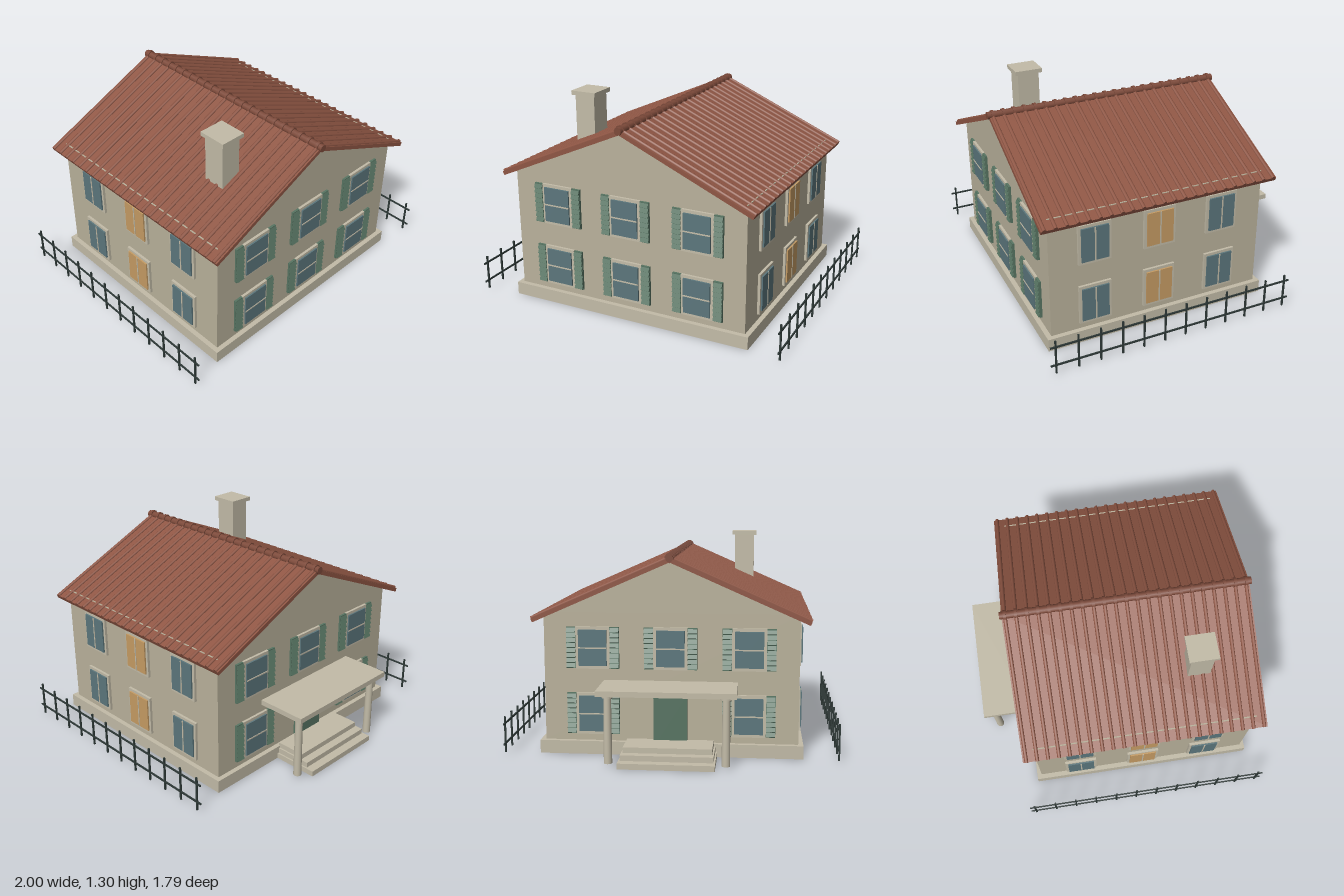
import * as THREE from 'three';

const mat = (color) => new THREE.MeshStandardMaterial({ color });
const wallMat = mat(0xbab29c), stoneMat = mat(0xc3bca8), roofMat = mat(0x8f5644), ridgeMat = mat(0x7d4a3a);
const shutterMat = mat(0x587563), glassMat = mat(0x5c777d), amberMat = mat(0xc69c64), ironMat = mat(0x2f3a38);

// House body is centred a little towards the front
const CZ = 0.11, HALF_W = 0.76, HALF_D = 0.69;

function add(parent, name, geometry, material, x = 0, y = 0, z = 0) {
  const mesh = new THREE.Mesh(geometry, material);
  mesh.name = name;
  mesh.position.set(x, y, z);
  parent.add(mesh);
  return mesh;
}
const box = (parent, name, material, w, h, d, x, y, z) =>
  add(parent, name, new THREE.BoxGeometry(w, h, d), material, x, y, z);

function group(parent, name) {
  const g = new THREE.Group();
  g.name = name;
  parent.add(g);
  return g;
}

// Rectangular frame with an opening
function frameGeometry(w, h, border, depth) {
  const rect = (T, a, b) => new T([
    new THREE.Vector2(-a, -b), new THREE.Vector2(a, -b), new THREE.Vector2(a, b), new THREE.Vector2(-a, b)]);
  const shape = rect(THREE.Shape, w / 2, h / 2);
  shape.holes.push(rect(THREE.Path, w / 2 - border, h / 2 - border));
  return new THREE.ExtrudeGeometry(shape, { depth, bevelEnabled: false });
}

// Slatted shutter, hung flat on the wall
function addShutter(parent, x) {
  const shutter = group(parent, 'shutter');
  shutter.position.x = x;
  box(shutter, 'shutterPanel', shutterMat, 0.056, 0.25, 0.014, 0, 0, 0.007);
  for (let i = 0; i < 8; i++) {
    const slat = box(shutter, 'shutterSlat', shutterMat, 0.054, 0.026, 0.007, 0, -0.107 + i * 0.0305, 0.017);
    slat.rotation.x = -0.4;
  }
}

// Window facing +z, with its back on z = 0
function addWindow(parent, pane, withShutters) {
  const win = group(parent, 'window');
  add(win, 'windowFrame', frameGeometry(0.204, 0.254, 0.018, 0.016), stoneMat);
  box(win, 'windowPane', pane, 0.17, 0.216, 0.025, 0, 0, 0.0125);
  if (withShutters) {
    box(win, 'crossBar', stoneMat, 0.17, 0.008, 0.004, 0, 0, 0.026);
    addShutter(win, -0.13);
    addShutter(win, 0.13);
  } else {
    box(win, 'middleBar', stoneMat, 0.008, 0.216, 0.004, 0, 0, 0.026);
  }
  return win;
}

function addWindows(house) {
  for (const y of [0.248, 0.648]) {
    for (const i of [-1, 0, 1]) {
      // Front and back
      addWindow(house, glassMat, true).position.set(i * 0.465, y, CZ + HALF_D);
      if (i !== 0 || y > 0.5) {
        const back = addWindow(house, glassMat, true);
        back.position.set(i * 0.465, y, CZ - HALF_D);
        back.rotation.y = Math.PI;
      }
      // Both sides
      for (const s of [-1, 1]) {
        const side = addWindow(house, i === 0 ? amberMat : glassMat, false);
        side.position.set(s * HALF_W, y, CZ + i * 0.413);
        side.rotation.y = s * Math.PI / 2;
      }
    }
  }
}

function addRoof(house) {
  const roof = group(house, 'roof');
  roof.position.set(0, 1.19, 0.105);
  const length = 0.9, depth = 1.505, ribs = 23, pitch = 0.0665;
  const slabGeo = new THREE.BoxGeometry(length, 0.024, depth);
  const ribGeo = new THREE.CylinderGeometry(0.0115, 0.0115, length, 8).rotateZ(Math.PI / 2);
  const collarGeo = new THREE.CylinderGeometry(0.03, 0.03, 0.018, 10).rotateX(Math.PI / 2);
  for (const turn of [0, Math.PI]) {
    const half = group(roof, 'roofHalf');
    half.rotation.y = turn;
    const slope = group(half, 'roofSlope');
    slope.rotation.z = -Math.atan2(0.365, 0.83);
    add(slope, 'roofSlab', slabGeo, roofMat, length / 2, -0.014, 0);
    for (let i = 0; i < ribs; i++)
      add(slope, 'roofRib', ribGeo, roofMat, length / 2, -0.001, (i - (ribs - 1) / 2) * pitch);
  }
  // Ridge tiles
  add(roof, 'ridge', new THREE.CylinderGeometry(0.023, 0.023, 1.53, 10).rotateX(Math.PI / 2), ridgeMat, 0, -0.004, 0);
  for (let i = 0; i < ribs; i++)
    add(roof, 'ridgeCollar', collarGeo, ridgeMat, 0, -0.004, (i - (ribs - 1) / 2) * pitch);
}

function addPorch(house) {
  const porch = group(house, 'porch');
  box(porch, 'canopy', stoneMat, 0.8, 0.032, 0.31, 0, 0.436, -0.735);
  for (const s of [-1, 1]) {
    add(porch, 'column', new THREE.CylinderGeometry(0.022, 0.025, 0.405, 16), stoneMat, s * 0.34, 0.2175, -0.825);
    add(porch, 'columnCapital', new THREE.CylinderGeometry(0.032, 0.032, 0.018, 16), stoneMat, s * 0.34, 0.411, -0.825);
  }
  // Steps, from the bottom up
  [-0.893, -0.84, -0.79].forEach((end, i) => {
    const d = -0.6 - end;
    box(porch, 'step', stoneMat, 0.56 - i * 0.02, 0.034, d, 0, 0.017 + i * 0.033, end + d / 2);
  });
  box(porch, 'door', shutterMat, 0.2, 0.32, 0.04, 0, 0.213, -0.6);
}

function addFence(house, x) {
  const fence = group(house, 'fence');
  fence.position.x = x;
  for (const y of [0.065, 0.188]) box(fence, 'fenceRail', ironMat, 0.008, 0.01, 1.575, 0, y, 0.108);
  for (let i = 0; i < 12; i++)
    box(fence, 'fencePost', ironMat, 0.01, 0.22, 0.01, 0, 0.12, 0.863 - i * 0.1373);
}

export function createModel() {
  const house = new THREE.Group();
  house.name = 'house';

  // Foundation, walls and gable
  box(house, 'foundation', stoneMat, 1.58, 0.08, 1.44, 0, 0.04, CZ);
  box(house, 'walls', wallMat, HALF_W * 2, 0.777, HALF_D * 2, 0, 0.4685, CZ);
  const triangle = new THREE.Shape([
    new THREE.Vector2(-0.745, 0.855), new THREE.Vector2(0.745, 0.855), new THREE.Vector2(0, 1.178)]);
  add(house, 'gable', new THREE.ExtrudeGeometry(triangle, { depth: HALF_D * 2, bevelEnabled: false }),
    wallMat, 0, 0, CZ - HALF_D);

  addRoof(house);

  // Chimney
  box(house, 'chimney', stoneMat, 0.13, 0.36, 0.14, -0.414, 1.1, 0.48);
  box(house, 'chimneyCap', stoneMat, 0.164, 0.026, 0.178, -0.414, 1.288, 0.48);

  addWindows(house);
  addPorch(house);
  addFence(house, -0.995);
  addFence(house, 0.995);
  return house;
}
